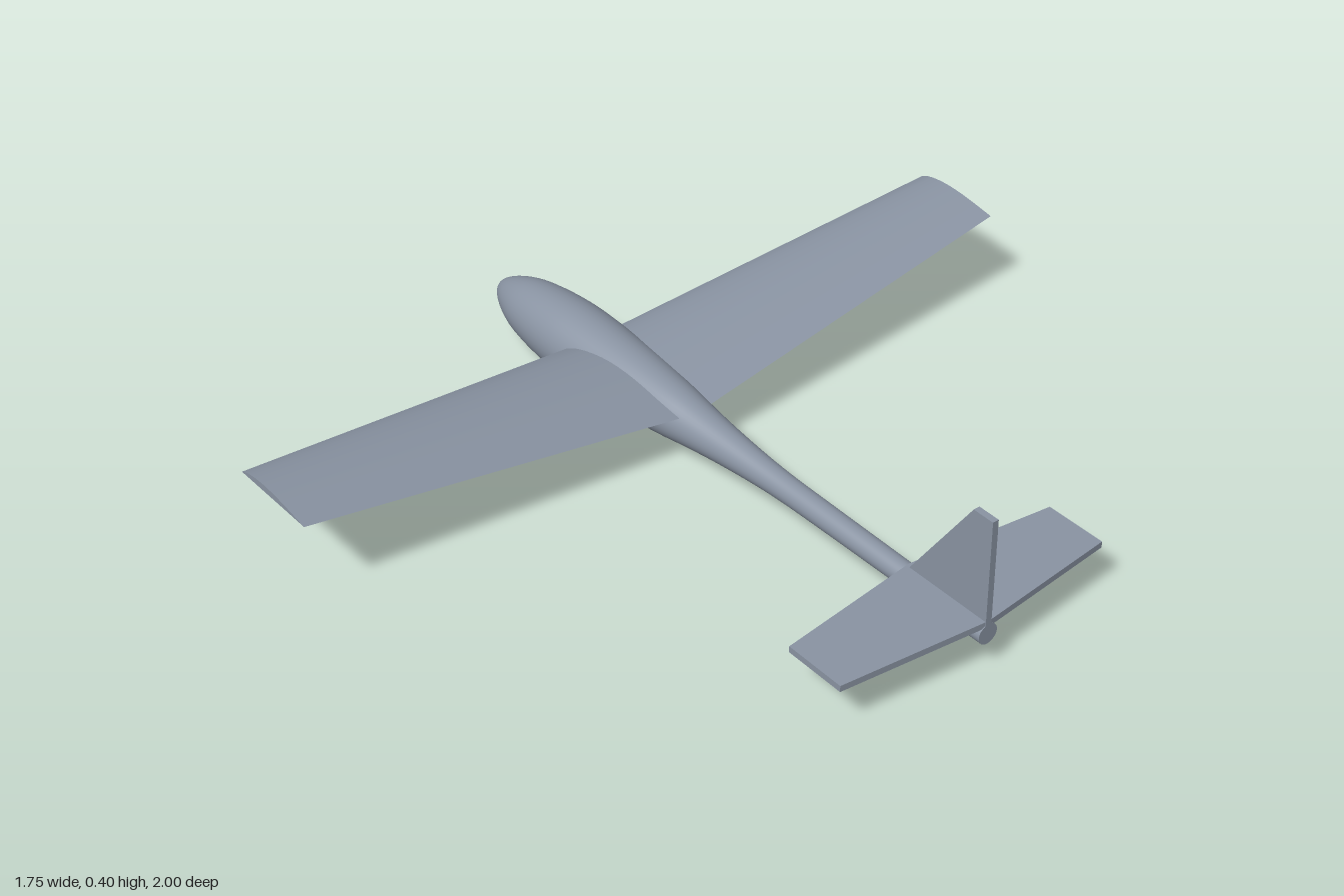
import * as THREE from 'three';
import { toCreasedNormals } from 'three/addons/utils/BufferGeometryUtils.js';

const grey = new THREE.MeshStandardMaterial({ color: 0x8a94a3 });
grey.name = 'blueGrey';

function part(name, geometry) {
  const mesh = new THREE.Mesh(geometry, grey);
  mesh.name = name;
  return mesh;
}

// Flat-bottomed aerofoil, counter-clockwise seen from +z
function aerofoil(x0, x1, y, z, thickness, steps = 14) {
  const loop = [new THREE.Vector3(x0, y, z)];
  for (let i = steps; i > 0; i--) {
    const t = i / steps;
    const h = Math.sin(Math.PI * Math.pow(t, 0.7)) * thickness;
    loop.push(new THREE.Vector3(x0 + (x1 - x0) * t, y + h, z));
  }
  return loop;
}

// Solid between two loops, the second one further along +z
function loft(back, front) {
  const out = [];
  const tri = (...points) => points.forEach((p) => out.push(p.x, p.y, p.z));
  const n = back.length;
  for (let j = 0; j < n; j++) {
    const k = (j + 1) % n;
    tri(back[j], back[k], front[k]);
    tri(back[j], front[k], front[j]);
    if (j > 0 && k > 0) {
      tri(front[0], front[j], front[k]);
      tri(back[0], back[k], back[j]);
    }
  }
  const g = new THREE.BufferGeometry();
  g.setAttribute('position', new THREE.Float32BufferAttribute(out, 3));
  return toCreasedNormals(g, 0.6);
}

// Flat plate from an outline
function plate(outline, depth) {
  const shape = new THREE.Shape(outline.map(([x, y]) => new THREE.Vector2(x, y)));
  return new THREE.ExtrudeGeometry(shape, { depth, bevelEnabled: false });
}

export function createModel() {
  const model = new THREE.Group();
  model.name = 'glider';

  // Fuselage: turned body along x, its axis rising slightly towards the tail
  const stations = [
    [0, -0.875], [0.02, -0.867], [0.037, -0.845], [0.056, -0.805], [0.073, -0.75],
    [0.085, -0.675], [0.092, -0.59], [0.093, -0.52], [0.09, -0.43], [0.082, -0.31],
    [0.069, -0.18], [0.057, -0.09], [0.046, 0.01], [0.037, 0.12], [0.032, 0.22],
    [0.03, 0.35], [0.028, 0.6], [0.026, 0.875],
  ].map(([r, x]) => new THREE.Vector2(r, x));
  const curve = new THREE.SplineCurve(stations);
  const profile = curve.getPoints(60);
  profile[0].x = 0;
  const body = new THREE.LatheGeometry(profile, 40).rotateZ(-Math.PI / 2);
  const pos = body.attributes.position;
  for (let i = 0; i < pos.count; i++) {
    const lift = THREE.MathUtils.smoothstep(pos.getX(i), -0.5, 0.4) * 0.007;
    pos.setY(i, pos.getY(i) + 0.093 + lift);
  }
  model.add(part('fuselage', body));
  model.add(part('tailCap',
    new THREE.CircleGeometry(0.026, 40).rotateY(Math.PI / 2).translate(0.875, 0.1, 0)));

  // Tapered wings with dihedral
  const root = aerofoil(-0.5, -0.1, 0.126, 0, 0.027);
  const tip = (z) => aerofoil(-0.43, -0.177, 0.238, z, 0.018);
  model.add(part('leftWing', loft(root, tip(1))));
  model.add(part('rightWing', loft(tip(-1), root)));

  // Tailplane
  const tailplane = plate([
    [0.628, 0], [0.675, -0.375], [0.835, -0.375],
    [0.875, 0], [0.835, 0.375], [0.675, 0.375],
  ], 0.016);
  model.add(part('tailplane', tailplane.rotateX(Math.PI / 2).translate(0, 0.135, 0)));

  // Upright fin
  const fin = plate([[0.628, 0.12], [0.875, 0.12], [0.875, 0.397], [0.818, 0.397]], 0.016);
  model.add(part('fin', fin.translate(0, 0, -0.008)));

  return model;
}
